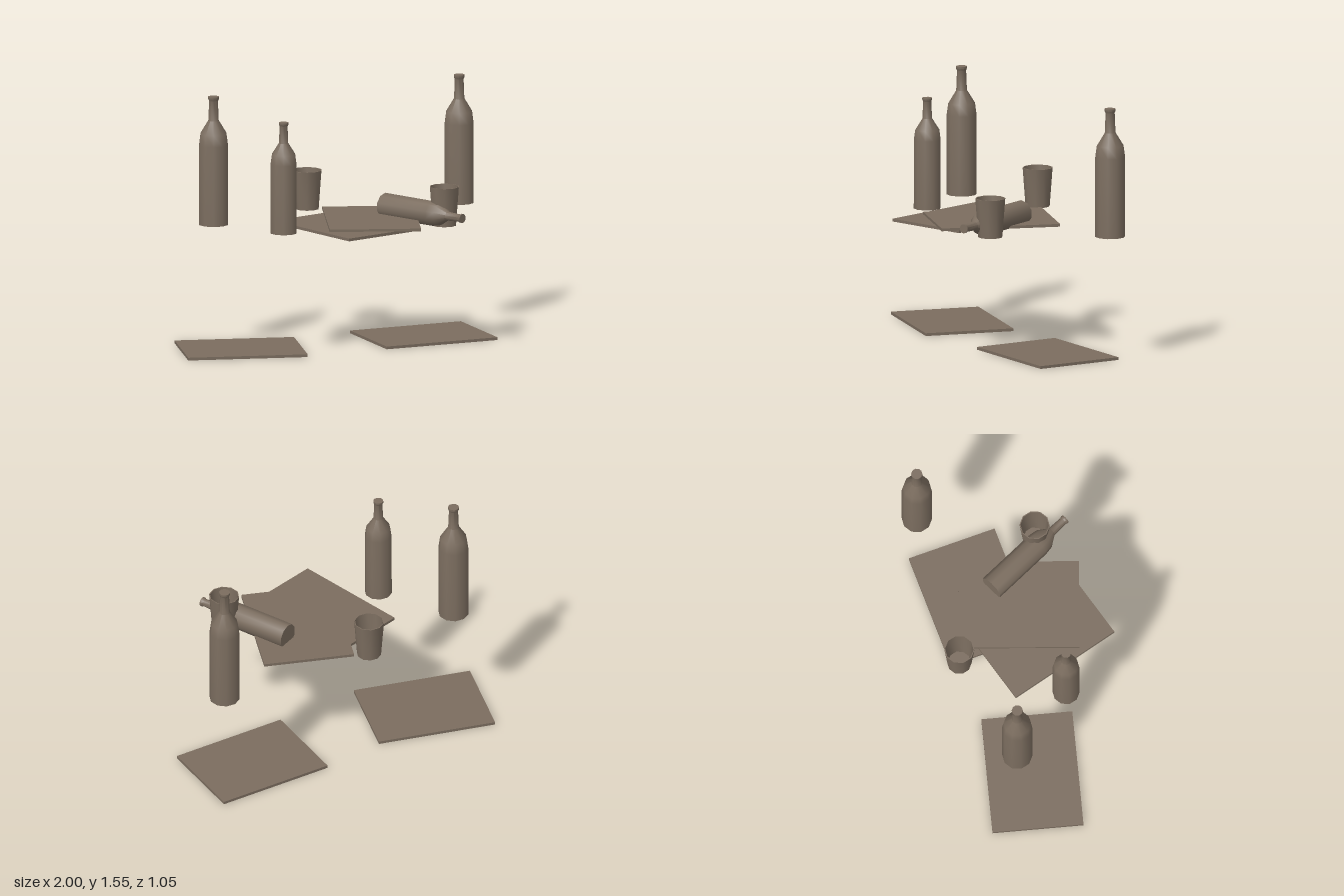
import * as THREE from 'three';
import { toCreasedNormals } from 'three/addons/utils/BufferGeometryUtils.js';

const SIDES = 10;
const TABLE = 0.76; // height on which the bottles and cups stand

function lathe(profile) {
  const points = profile.map(([r, y]) => new THREE.Vector2(r, y));
  return toCreasedNormals(new THREE.LatheGeometry(points, SIDES), 0.75);
}

export function createModel() {
  const model = new THREE.Group();
  const brown = new THREE.MeshStandardMaterial({ color: 0x7b6d5f });
  brown.name = 'dull brown';

  const add = (name, geometry, x, y, z, turn = 0) => {
    const mesh = new THREE.Mesh(geometry, brown);
    mesh.name = name;
    mesh.position.set(x, y, z);
    mesh.rotation.set(0, turn, 0, 'YXZ');
    model.add(mesh);
    return mesh;
  };

  // Flat boards: two on the ground, two stacked at table height
  const board = new THREE.BoxGeometry(0.731, 0.017, 0.553);
  const deg = THREE.MathUtils.degToRad;
  add('rightGroundBoard', board, -0.593, 0.0085, -0.126, deg(-10));
  add('leftGroundBoard', board, 0.59, 0.0085, -0.176, deg(5));
  add('lowerTableBoard', board, 0.014, TABLE + 0.0085, 0.08, deg(-70));
  add('upperTableBoard', board, 0.196, TABLE + 0.0235, 0.005, deg(75));

  // Bottles: straight body, rounded shoulder, narrow neck and lip
  const bottle = lathe([
    [0, 0], [0.092, 0], [0.0915, 0.49], [0.082, 0.56], [0.033, 0.64],
    [0.028, 0.762], [0.034, 0.774], [0.034, 0.787], [0, 0.787],
  ]);
  add('tallBottleRight', bottle, -0.725, TABLE, -0.257, Math.PI / 2);
  add('tallBottleLeft', bottle, 0.905, TABLE, -0.44, Math.PI / 2);
  add('shortBottle', bottle, -0.41, TABLE, 0.135, Math.PI / 2).scale.set(0.897, 0.864, 0.897);

  // Bottle lying on its side across the boards
  const fallen = add('fallenBottle', bottle, 0.328, 0.835, -0.13, Math.atan2(0.309, 0.548));
  fallen.rotation.x = Math.PI / 2;
  fallen.scale.set(0.84, 0.8, 0.84);

  // Open tapered cups with thin walls
  const cup = lathe([
    [0, 0], [0.074, 0], [0.092, 0.238], [0.086, 0.238], [0.068, 0.015], [0, 0.015],
  ]);
  add('backCup', cup, -0.067, TABLE + 0.022, -0.44, Math.PI / 2);
  add('frontCup', cup, 0.59, TABLE, 0.213, Math.PI / 2);

  return model;
}
